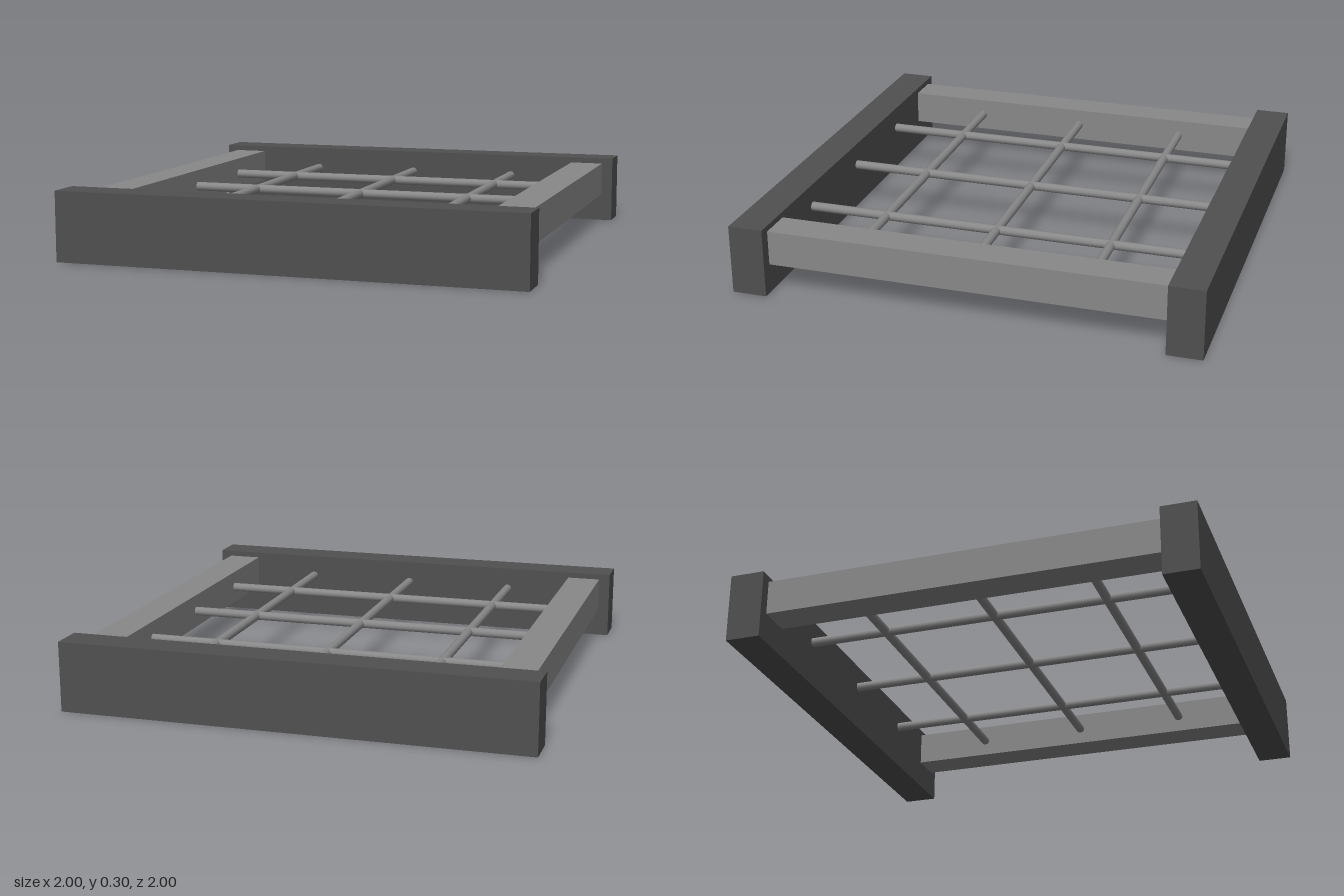
import * as THREE from 'three';

export function createModel() {
  const model = new THREE.Group();
  model.name = 'barredFrame';
  const dark = new THREE.MeshStandardMaterial({ color: 0x505050 });
  const light = new THREE.MeshStandardMaterial({ color: 0x888888 });

  const add = (name, geometry, material, x, y, z) => {
    const mesh = new THREE.Mesh(geometry, material);
    mesh.name = name;
    mesh.position.set(x, y, z);
    model.add(mesh);
    return mesh;
  };

  // Heavy end beams and the slimmer side rails between them
  const beam = new THREE.BoxGeometry(2, 0.3, 0.15);
  const rail = new THREE.BoxGeometry(0.15, 0.15, 1.7);
  for (const s of [-1, 1]) {
    add(s > 0 ? 'frontBeam' : 'backBeam', beam, dark, 0, 0.15, s * 0.925);
    add(s > 0 ? 'leftRail' : 'rightRail', rail, light, s * 0.875, 0.2, 0);
  }

  // Grid of round bars crossing at mid height of the rails
  const longBar = new THREE.CylinderGeometry(0.02, 0.02, 1.7, 12);
  const crossBar = new THREE.CylinderGeometry(0.02, 0.02, 1.6, 12);
  for (const p of [-0.5, 0, 0.5]) {
    add('longBar', longBar, light, p, 0.2, 0).rotation.x = Math.PI / 2;
    add('crossBar', crossBar, light, 0, 0.2, p).rotation.z = Math.PI / 2;
  }
  return model;
}
